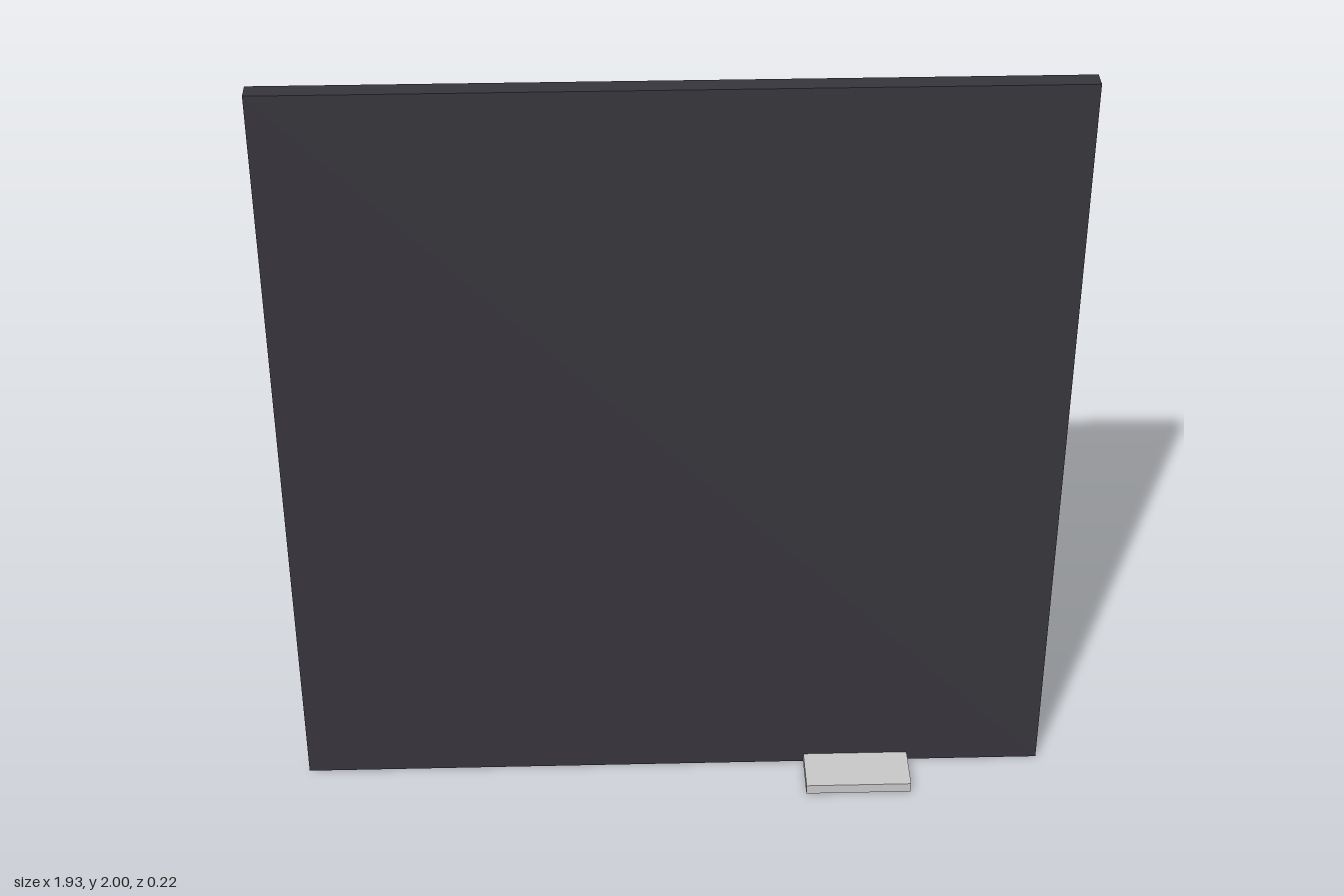
import * as THREE from 'three';

const HALF = 0.967;                                   // half the wall length
const DOOR = { x0: 0.39, x1: 0.575, y0: 0.03, y1: 0.4 };
const FRONT = -0.02, LINER = -0.068, BACK = -0.072;   // sheet depths

const sheetMat = (name, color) => {
  const m = new THREE.MeshStandardMaterial({ color, side: THREE.DoubleSide });
  m.name = name;
  return m;
};

// Folded sheet: sweeps an open [z, y] profile along x, flat faces, open ends
function foldedSheet(profile, x0, x1) {
  const pos = [];
  for (let i = 0; i < profile.length - 1; i++) {
    const [za, ya] = profile[i], [zb, yb] = profile[i + 1];
    pos.push(x0, ya, za, x1, ya, za, x1, yb, zb, x0, ya, za, x1, yb, zb, x0, yb, zb);
  }
  const g = new THREE.BufferGeometry();
  g.setAttribute('position', new THREE.Float32BufferAttribute(pos, 3));
  g.computeVertexNormals();
  return g;
}

// Flat sheet facing the back, notched from its lower edge for the doorway
function notchedSheet(top, z) {
  const { x0, x1, y0, y1 } = DOOR;
  const outline = [[-HALF, y0], [x0, y0], [x0, y1], [x1, y1], [x1, y0], [HALF, y0], [HALF, top], [-HALF, top]];
  // mirrored in x, then turned to face -z
  const shape = new THREE.Shape(outline.map(([x, y]) => new THREE.Vector2(-x, y)));
  return new THREE.ShapeGeometry(shape).rotateY(Math.PI).translate(0, 0, z);
}

function block(x0, x1, y0, y1, z0, z1) {
  return new THREE.BoxGeometry(x1 - x0, y1 - y0, z1 - z0)
    .translate((x0 + x1) / 2, (y0 + y1) / 2, (z0 + z1) / 2);
}

export function createModel() {
  const dark = sheetMat('darkCladding', 0x38363d);
  const light = sheetMat('lightWall', 0xcacaca);
  const metal = sheetMat('greyMetal', 0x7d868a);

  const model = new THREE.Group();
  model.name = 'buildingWall';
  const add = (name, geometry, material) => {
    const mesh = new THREE.Mesh(geometry, material);
    mesh.name = name;
    model.add(mesh);
  };

  // Wall: outer cladding folded over the top, inner liner and light back face
  add('cladding', foldedSheet([[FRONT, 0], [FRONT, 2], [LINER, 2], [LINER, 1.57]].reverse(), -HALF, HALF), dark);
  add('liner', notchedSheet(1.57, LINER), dark);
  add('backWall', notchedSheet(1.57, BACK), light);

  // Trim band under the parapet
  add('trimBand', foldedSheet([[LINER, 1.61], [-0.085, 1.61], [-0.085, 1.53], [LINER, 1.53]], -HALF, HALF), dark);

  // Recessed door with its reveals
  const { x0, x1, y0, y1 } = DOOR, face = -0.04;
  add('doorPanelAndHead', foldedSheet([[BACK, y1], [face, y1], [face, y0]], x0, x1), metal);
  for (const [name, x] of [['rightJamb', x0], ['leftJamb', x1]]) {
    const jamb = new THREE.PlaneGeometry(face - BACK, y1 - y0).rotateY(Math.PI / 2);
    add(name, jamb.translate(x, (y0 + y1) / 2, (face + BACK) / 2), metal);
  }

  // Fittings
  add('doorLight', block(0.45, 0.52, 0.415, 0.45, -0.078, BACK), light);
  add('meterBox', block(-0.533, -0.44, 0.173, 0.32, -0.11, BACK), metal);
  add('step', block(0.345, 0.62, 0, 0.027, -0.017, 0.11), light);

  return model;
}
